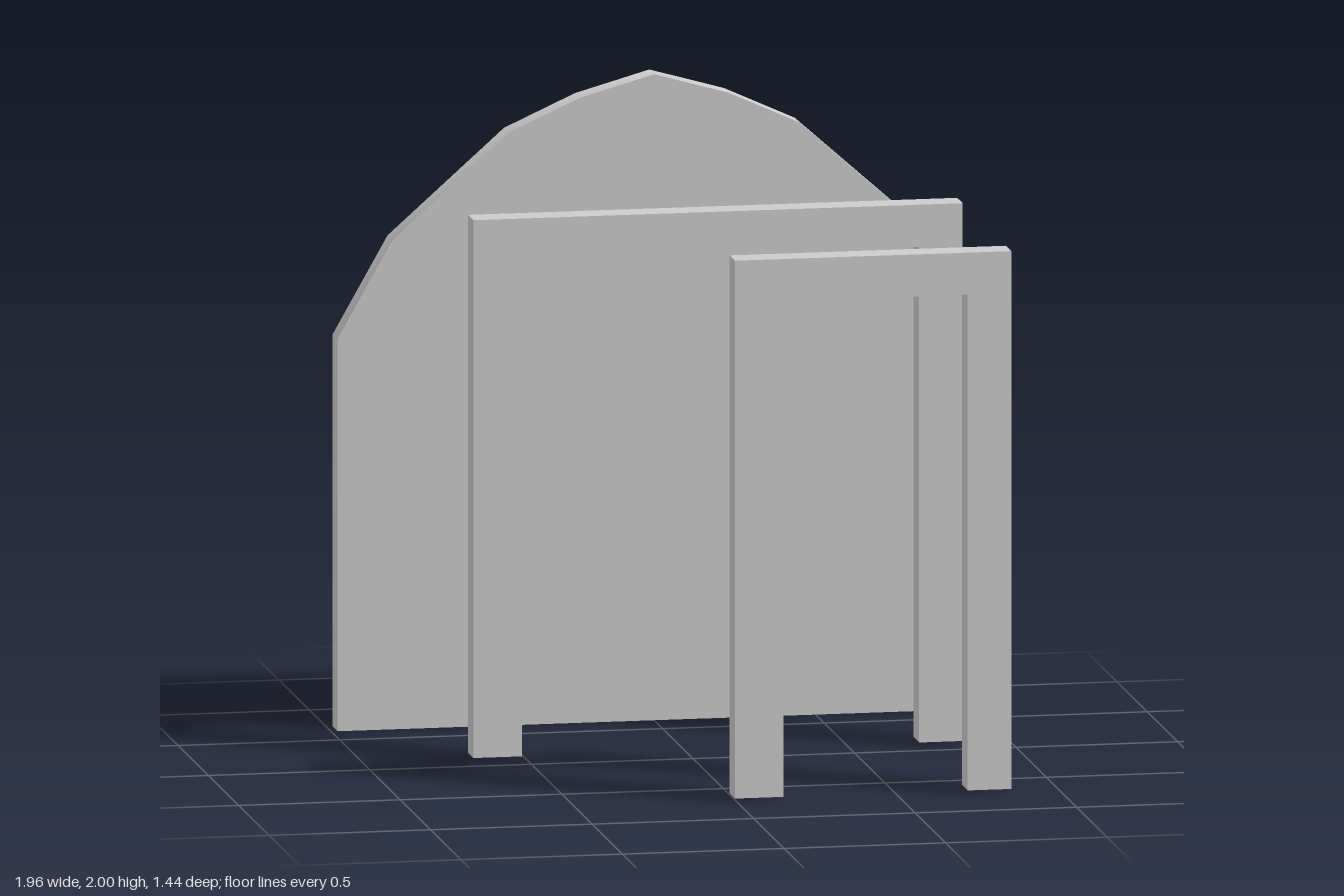
import * as THREE from 'three';
import { toCreasedNormals } from 'three/addons/utils/BufferGeometryUtils.js';

const material = new THREE.MeshStandardMaterial({ color: 0xcccccc, side: THREE.DoubleSide });

function addMesh(group, geometry, name) {
  const mesh = new THREE.Mesh(geometry, material);
  mesh.name = name;
  group.add(mesh);
}

// Wall strip that follows an open x-y path between two depths
function wall(path, zBack, zFront) {
  const positions = [];
  const index = [];
  path.forEach(([x, y], i) => {
    positions.push(x, y, zBack, x, y, zFront);
    if (i === 0) return;
    const a = 2 * (i - 1);
    index.push(a, a + 1, a + 3, a, a + 3, a + 2);
  });
  const geometry = new THREE.BufferGeometry();
  geometry.setAttribute('position', new THREE.Float32BufferAttribute(positions, 3));
  geometry.setIndex(index);
  return toCreasedNormals(geometry, 0.6);
}

// Flat face filling an outline
function face(points, z) {
  const shape = new THREE.Shape(points.map(([x, y]) => new THREE.Vector2(x, y)));
  return new THREE.ShapeGeometry(shape).translate(0, 0, z);
}

// Hollow door frame: front face with outer and inner walls, open at the back and feet
function doorFrame(name, left, right, zBack, zFront) {
  const bottom = 0.01, top = 1.675, lintel = 1.545, post = 0.15;
  const outer = [[left, bottom], [left, top], [right, top], [right, bottom]];
  const inner = [
    [right - 0.135, bottom], [right - 0.135, lintel],
    [left + post, lintel], [left + post, bottom],
  ];
  const group = new THREE.Group();
  group.name = name;
  addMesh(group, face([...outer, ...inner], zFront), 'frameFront');
  addMesh(group, wall(outer, zBack, zFront), 'outerWalls');
  addMesh(group, wall(inner, zBack, zFront), 'innerWalls');
  return group;
}

// Arched panel, closed on both faces and open underneath
function archedPanel(zBack, zFront) {
  const half = [[0.98, 0], [0.98, 1.215], [0.81, 1.515], [0.45, 1.835], [0.23, 1.935]];
  const outline = [
    ...half.map(([x, y]) => [-x, y]), [0, 2], ...half.slice().reverse(),
  ];
  const group = new THREE.Group();
  group.name = 'archedPanel';
  addMesh(group, face(outline, zFront), 'panelFront');
  const back = face(outline.map(([x, y]) => [-x, y]), 0).rotateY(Math.PI).translate(0, 0, zBack);
  addMesh(group, back, 'panelBack');
  addMesh(group, wall(outline, zBack, zFront), 'panelRim');
  return group;
}

export function createModel() {
  const model = new THREE.Group();
  model.name = 'doorFramesAndPanel';
  model.add(
    doorFrame('narrowDoorFrame', -0.005, 0.85, 0.63, 0.72),
    doorFrame('wideDoorFrame', -0.665, 0.85, -0.17, -0.08),
    archedPanel(-0.72, -0.64),
  );
  return model;
}
